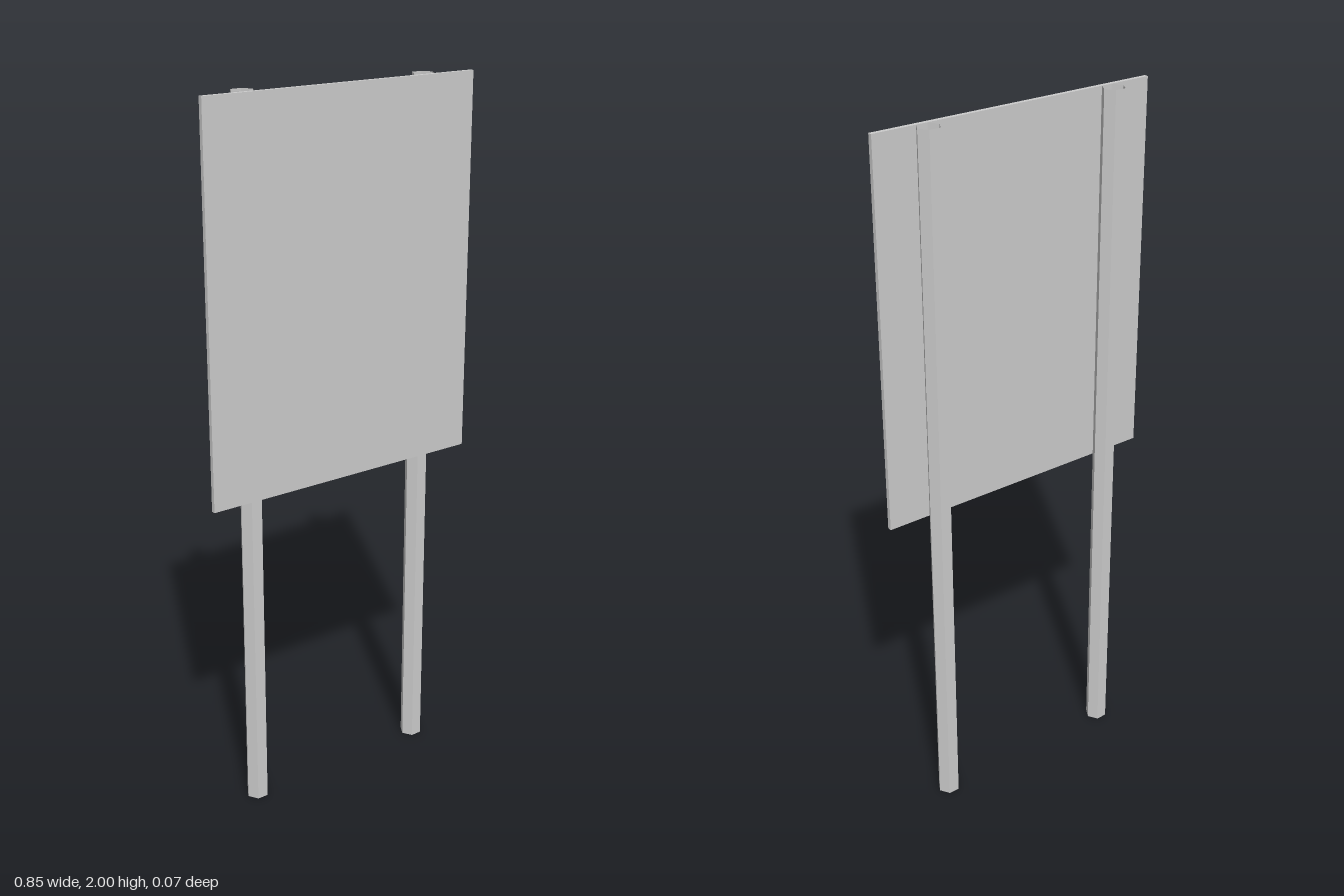
import * as THREE from 'three';

export function createModel() {
  const model = new THREE.Group();
  model.name = 'signboard';

  const grey = new THREE.MeshStandardMaterial({ color: 0xcccccc, flatShading: true, side: THREE.DoubleSide });
  grey.name = 'light grey';

  // Thin flat panel
  const bottom = 0.932, top = 2;
  const panel = new THREE.Mesh(new THREE.BoxGeometry(0.854, top - bottom, 0.012), grey);
  panel.name = 'panel';
  panel.position.set(0, (top + bottom) / 2, 0.028);
  model.add(panel);

  // Two hollow hexagonal posts behind the panel, a flat side facing it
  const postGeometry = new THREE.CylinderGeometry(0.032, 0.032, top, 6, 1, true, Math.PI / 6);
  for (const side of [-1, 1]) {
    const post = new THREE.Mesh(postGeometry, grey);
    post.name = side > 0 ? 'leftPost' : 'rightPost';
    post.position.set(side * 0.286, top / 2, -0.006);
    model.add(post);
  }

  return model;
}
